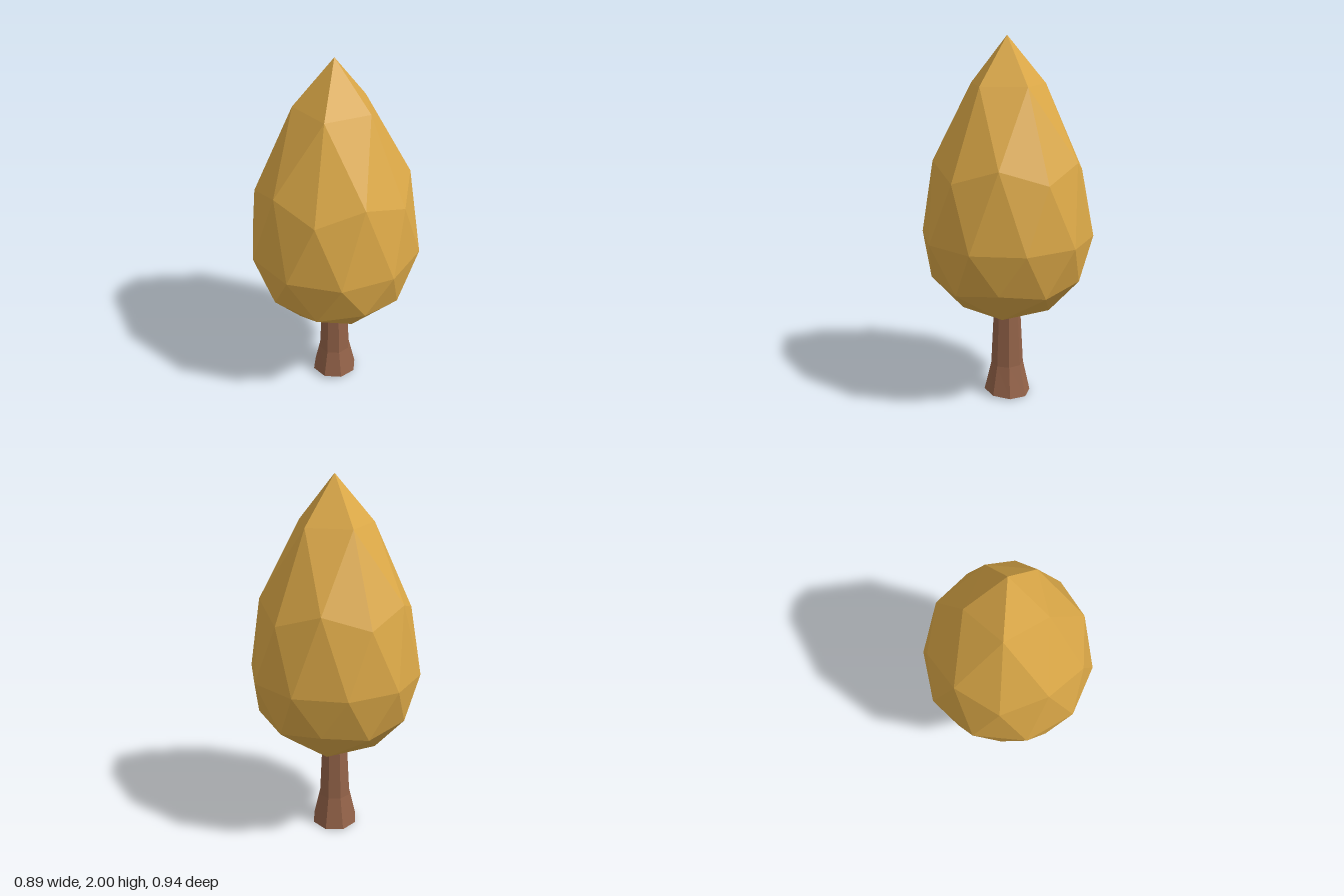
import * as THREE from 'three';

const foliage = new THREE.MeshStandardMaterial({ color: 0xdba847 });
foliage.name = 'golden foliage';
const bark = new THREE.MeshStandardMaterial({ color: 0x946349, side: THREE.DoubleSide });
bark.name = 'brown bark';

// Crown profile: height on the unit icosphere -> [height, radius] of that ring
const CROWN_RINGS = [
  [1, 2.0, 0], [0.851, 1.75, 0.21], [0.526, 1.36, 0.4], [0.447, 1.28, 0.42],
  [0, 0.94, 0.47],
  [-0.447, 0.72, 0.42], [-0.526, 0.68, 0.4], [-0.851, 0.53, 0.25], [-1, 0.47, 0],
];

// Teardrop crown: a once-divided icosahedron standing on a corner, ring by ring reshaped
function makeCrown() {
  const geometry = new THREE.IcosahedronGeometry(1, 1);
  geometry.rotateZ(-Math.atan(2 / (1 + Math.sqrt(5))));
  const p = geometry.attributes.position;
  for (let i = 0; i < p.count; i++) {
    const y = p.getY(i);
    const ring = CROWN_RINGS.reduce((a, b) => (Math.abs(b[0] - y) < Math.abs(a[0] - y) ? b : a));
    const angle = Math.atan2(p.getZ(i), p.getX(i));
    p.setXYZ(i, ring[2] * Math.cos(angle), ring[1], ring[2] * Math.sin(angle));
  }
  geometry.computeVertexNormals();
  const crown = new THREE.Mesh(geometry, foliage);
  crown.name = 'crown';
  return crown;
}

// Eight-sided trunk with a flared, open, slightly slanting foot
function makeTrunk() {
  const profile = [[0.13, 0], [0.091, 0.18], [0.074, 0.51]].map(([r, y]) => new THREE.Vector2(r, y));
  const geometry = new THREE.LatheGeometry(profile, 8, Math.PI / 8).toNonIndexed();
  const p = geometry.attributes.position;
  for (let i = 0; i < p.count; i++) {
    if (p.getY(i) < 0.01) p.setY(i, 0.0102 + 0.06 * (p.getZ(i) - p.getX(i)));
  }
  geometry.computeVertexNormals();
  const trunk = new THREE.Mesh(geometry, bark);
  trunk.name = 'trunk';
  return trunk;
}

export function createModel() {
  const tree = new THREE.Group();
  tree.name = 'tree';
  tree.add(makeCrown(), makeTrunk());
  return tree;
}
